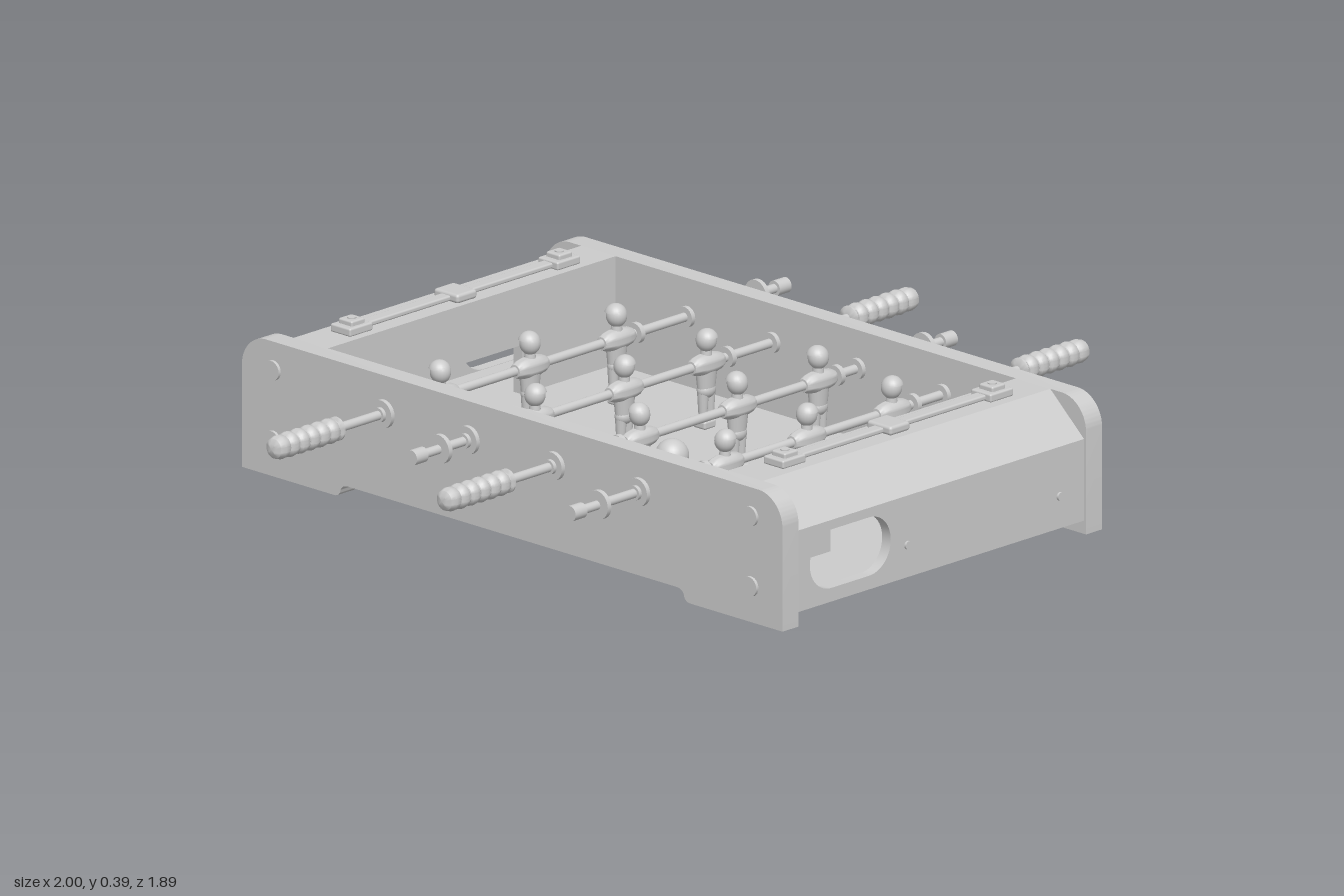
import * as THREE from 'three';
import { toCreasedNormals } from 'three/addons/utils/BufferGeometryUtils.js';
import { RoundedBoxGeometry } from 'three/addons/geometries/RoundedBoxGeometry.js';

const grey = new THREE.MeshStandardMaterial({ color: 0xcccccc, side: THREE.DoubleSide });

function add(parent, name, geo, x = 0, y = 0, z = 0) {
  const m = new THREE.Mesh(geo, grey);
  m.name = name;
  m.position.set(x, y, z);
  parent.add(m);
  return m;
}
const group = (parent, name) => {
  const g = new THREE.Group();
  g.name = name;
  parent.add(g);
  return g;
};
const box = (w, h, d) => new THREE.BoxGeometry(w, h, d);
const cylX = (r, len, r2 = r) => new THREE.CylinderGeometry(r, r2, len, 24).rotateZ(-Math.PI / 2);
const cylZ = (r, len) => new THREE.CylinderGeometry(r, r, len, 20).rotateX(Math.PI / 2);
const polygon = (pts) => new THREE.Shape(pts.map(([a, b]) => new THREE.Vector2(a, b)));
const extrude = (shape, depth) => toCreasedNormals(
  new THREE.ExtrudeGeometry(shape, { depth, bevelEnabled: false, curveSegments: 12 }), 0.5);
// profile drawn as (-z, y), extruded along x and centred on it
const extrudeX = (shape, len) => extrude(shape, len).translate(0, 0, -len / 2).rotateY(Math.PI / 2);
// lathe from [radius, distance] pairs, lying along +x
const latheX = (pts) => toCreasedNormals(
  new THREE.LatheGeometry(pts.map(([r, d]) => new THREE.Vector2(r, d)), 24), 0.6).rotateZ(-Math.PI / 2);

const OUT = 0.5725, IN = 0.515, TOP = 0.355, FLOOR = 0.07, ROD_Y = 0.255, MID = -0.0225;

// side board with rounded top corners and two feet
function sideShape() {
  const L = 0.945, r = 0.085, s = new THREE.Shape();
  s.moveTo(-L, 0);
  s.lineTo(-0.62, 0);
  s.quadraticCurveTo(-0.603, 0.002, -0.6, 0.018);
  s.quadraticCurveTo(-0.595, 0.032, -0.575, 0.033);
  s.lineTo(0.575, 0.033);
  s.quadraticCurveTo(0.595, 0.032, 0.6, 0.018);
  s.quadraticCurveTo(0.603, 0.002, 0.62, 0);
  s.lineTo(L, 0);
  s.lineTo(L, TOP - r);
  s.absarc(L - r, TOP - r, r, 0, Math.PI / 2, false);
  s.lineTo(-L + r, TOP);
  s.absarc(-L + r, TOP - r, r, Math.PI / 2, Math.PI, false);
  s.closePath();
  return s;
}

// one hollow end of the table with ball return, goal and score slider
function buildEnd(parent, name) {
  const g = group(parent, name);
  const front = polygon([[-IN, 0.035], [IN, 0.035], [IN, 0.25], [-IN, 0.25]]);
  const slot = new THREE.Path(), r = 0.077, cx = -0.3225, cy = 0.148, h = 0.145 - r;
  slot.absarc(cx + h, cy, r, -Math.PI / 2, Math.PI / 2, false);
  slot.absarc(cx - h, cy, r, Math.PI / 2, Math.PI * 1.5, false);
  slot.closePath();
  front.holes.push(slot);
  add(g, 'endBoard', extrude(front, 0.03), 0, 0, 0.908);

  add(g, 'slopedTop', extrudeX(polygon([
    [-0.70, TOP], [-0.82, TOP], [-0.938, 0.25], [-0.908, 0.25], [-0.81, 0.328], [-0.70, 0.328],
  ]), IN * 2));

  const goalWall = polygon([[-IN, FLOOR], [-0.18, FLOOR], [-0.18, 0.2], [0.18, 0.2],
    [0.18, FLOOR], [IN, FLOOR], [IN, 0.328], [-IN, 0.328]]);
  add(g, 'goalWall', extrude(goalWall, 0.03), 0, 0, 0.70);

  for (const x of [-0.118, 0.4275]) add(g, 'endScrew', cylZ(0.011, 0.012), x, 0.12, 0.938);

  // score slider
  const s = group(g, 'scoreSlider');
  s.position.set(0, TOP, 0.757);
  add(s, 'scoreRail', new RoundedBoxGeometry(0.76, 0.014, 0.034, 2, 0.005), 0, 0.009, 0);
  add(s, 'scoreMarker', new RoundedBoxGeometry(0.072, 0.024, 0.085, 2, 0.008), 0, 0.011, 0);
  for (const x of [-0.372, 0.372]) {
    add(s, 'scoreBlock', new RoundedBoxGeometry(0.083, 0.022, 0.07, 2, 0.005), x, 0.01, 0);
    add(s, 'scoreBlockCap', new RoundedBoxGeometry(0.048, 0.02, 0.048, 2, 0.005), x, 0.024, 0);
    add(s, 'scoreScrew', new THREE.CylinderGeometry(0.012, 0.012, 0.006, 16), x, 0.034, 0);
  }
  return g;
}

// player hung on a rod at its own origin, facing +z
function buildPlayer(parent, x, facing) {
  const g = group(parent, 'player');
  g.position.x = x;
  if (facing < 0) g.rotation.y = Math.PI;
  add(g, 'head', new THREE.SphereGeometry(0.027, 20, 14), 0, 0.062, 0).scale.set(1, 1.1, 1);
  add(g, 'hair', new THREE.SphereGeometry(0.029, 20, 8, 0, Math.PI * 2, 0, 1.3), 0, 0.064, -0.003);
  add(g, 'neck', new THREE.CylinderGeometry(0.013, 0.016, 0.03, 16), 0, 0.028, 0);
  add(g, 'shoulders', latheX([[0, -0.056], [0.017, -0.054], [0.023, -0.042], [0.027, -0.02], [0.028, 0],
    [0.027, 0.02], [0.023, 0.042], [0.017, 0.054], [0, 0.056]]));
  add(g, 'torso', new THREE.CylinderGeometry(0.034, 0.026, 0.07, 20), 0, -0.032, 0).scale.z = 0.72;
  add(g, 'hips', new THREE.SphereGeometry(0.028, 16, 10), 0, -0.068, 0).scale.set(1, 0.8, 0.75);
  for (const s of [-1, 1]) {
    add(g, 'leg', new THREE.CylinderGeometry(0.015, 0.01, 0.085, 14), s * 0.012, -0.113, 0);
  }
  add(g, 'foot', new RoundedBoxGeometry(0.042, 0.022, 0.042, 2, 0.006), 0, -0.158, 0.006);
}

// rod: the handle is on side s, the cap and disc on the other
function buildRod(parent, { z, s, disc, cap, players, stops }) {
  const g = group(parent, 'rod');
  g.position.set(0, ROD_Y, z);
  const end = cap - 0.01;
  add(g, 'bar', cylX(0.012, 0.8 + end), s * (0.8 - end) / 2);

  // ridged grip with a rounded tip
  const pts = [[0, 0.775], [0.026, 0.775]];
  for (let i = 0; i < 5; i++) {
    const d = 0.778 + i * 0.036;
    pts.push([0.026, d], [0.031, d + 0.006], [0.033, d + 0.016], [0.031, d + 0.026], [0.026, d + 0.032]);
  }
  pts.push([0.03, 0.96], [0.031, 0.975], [0.026, 0.99], [0.014, 0.998], [0, 1]);
  const h = group(g, 'handle');
  if (s < 0) h.rotation.y = Math.PI;
  add(h, 'grip', latheX(pts));
  add(h, 'gripCollar', latheX([[0, 0.757], [0.02, 0.757], [0.031, 0.764], [0.031, 0.769], [0.02, 0.777], [0, 0.777]]));

  add(g, 'endCap', cylX(0.02, 0.042), -s * (cap - 0.021));
  add(g, 'endDisc', cylX(0.038, 0.013), -s * disc);
  for (const x of stops) add(g, 'rodStop', cylX(0.027, 0.014), x);
  for (const x of players) buildPlayer(g, x, -s);

  // bearings on both faces of the side boards
  for (const side of [-1, 1]) {
    add(g, 'outerBearing', cylX(0.037, 0.012), MID + side * (OUT + 0.006));
    add(g, 'bearingSleeve', cylX(0.019, 0.022), MID + side * (OUT + 0.011));
    add(g, 'innerBearing', cylX(0.027, 0.012), MID + side * (IN - 0.006));
  }
}

export function createModel() {
  const model = new THREE.Group();
  model.name = 'tableFootballGame';
  const table = group(model, 'table');
  table.position.x = MID;

  // side boards with bolt covers
  const shape = sideShape();
  for (const s of [-1, 1]) {
    add(table, 'sideBoard', extrudeX(shape, OUT - IN), s * (OUT + IN) / 2);
    for (const z of [-0.835, 0.835]) for (const y of [0.095, 0.28]) {
      add(table, 'boltCover', cylX(0.026, 0.012), s * (OUT + 0.002), y, z);
    }
  }
  add(table, 'playfield', box(IN * 2, FLOOR - 0.035, 1.874), 0, (FLOOR + 0.035) / 2, 0);
  buildEnd(table, 'frontEnd');
  buildEnd(table, 'backEnd').rotation.y = Math.PI;

  const rods = [
    { z: -0.448, s: -1, disc: 0.742, cap: 0.845, players: [-0.393, -0.072, 0.238], stops: [-0.468, 0.307] },
    { z: -0.15, s: 1, disc: 0.7, cap: 0.803, players: [-0.36, -0.04, 0.254], stops: [-0.436, 0.329] },
    { z: 0.148, s: -1, disc: 0.728, cap: 0.83, players: [-0.29, 0.06, 0.35], stops: [-0.366, 0.414] },
    { z: 0.446, s: 1, disc: 0.742, cap: 0.845, players: [-0.29, 0.003, 0.307], stops: [-0.366, 0.382] },
  ];
  for (const r of rods) buildRod(model, r);

  add(model, 'ball', new THREE.SphereGeometry(0.043, 28, 20), MID, FLOOR + 0.043, 0);
  return model;
}
